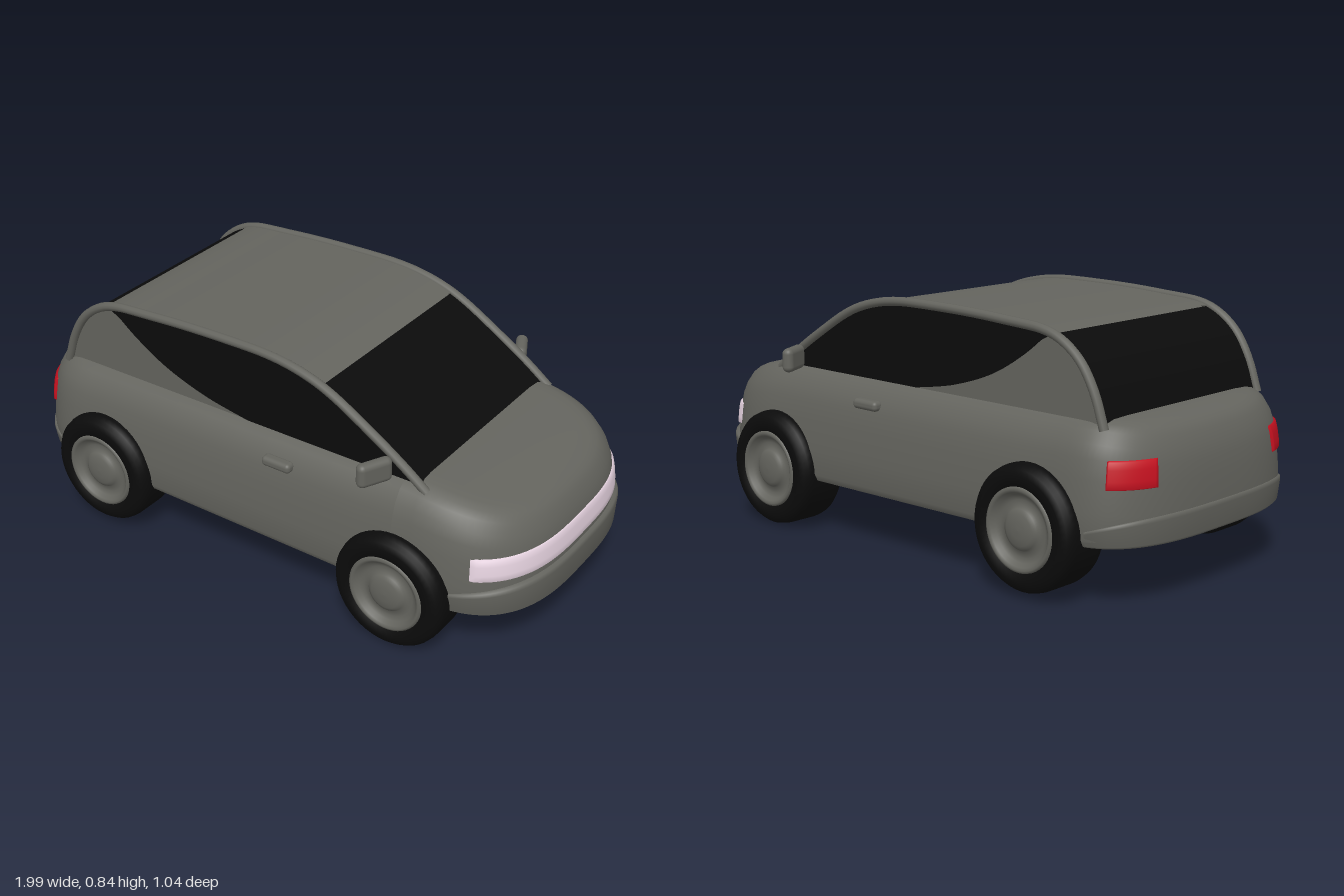
import * as THREE from 'three';
import { RoundedBoxGeometry } from 'three/addons/geometries/RoundedBoxGeometry.js';

const material = (name, color, side = THREE.FrontSide) => {
  const m = new THREE.MeshStandardMaterial({ color, side });
  m.name = name;
  return m;
};

// Smooth surface from a rule fn(i, j) giving [x, y, z]
function grid(nu, nv, fn) {
  const pos = [], index = [];
  for (let j = 0; j <= nv; j++) for (let i = 0; i <= nu; i++) pos.push(...fn(i, j));
  for (let j = 0; j < nv; j++) for (let i = 0; i < nu; i++) {
    const a = j * (nu + 1) + i, b = a + 1, d = a + nu + 1, c = d + 1;
    index.push(a, b, c, a, c, d);
  }
  const g = new THREE.BufferGeometry();
  g.setAttribute('position', new THREE.Float32BufferAttribute(pos, 3));
  g.setIndex(index);
  g.computeVertexNormals();
  return g;
}

// Plan outline of the nose or tail at an angle, pulled in by d
function outline(angle, d, rear) {
  const c = Math.pow(Math.abs(Math.cos(angle)), 2 / 3);
  const s = Math.sin(angle);
  const x = rear ? -0.7 - (0.29 - 0.7 * d) * c : 0.55 + (0.43 - 0.7 * d) * c;
  return [x, -Math.sign(s) * Math.pow(Math.abs(s), 2 / 3) * (0.475 - d)];
}

// Whole plan outline: nose, straight side, tail, straight side
const ARC = 48, SIDE = 10, LOOP = 2 * (ARC + SIDE);
function around(i, d) {
  const rear = i >= ARC + SIDE, k = rear ? i - ARC - SIDE : i;
  const start = rear ? Math.PI / 2 : -Math.PI / 2;
  if (k <= ARC) return outline(start + Math.PI * k / ARC, d, rear);
  const z = (rear ? 1 : -1) * (0.475 - d), t = (k - ARC) / SIDE;
  return [THREE.MathUtils.lerp(rear ? -0.7 : 0.55, rear ? 0.55 : -0.7, t), z];
}

const topY = x => 0.565 - 0.11 * Math.pow(Math.max(0, (x - 0.55) / 0.45), 1.6)
  - 0.06 * Math.pow(Math.max(0, (-0.8 - x) / 0.2), 2);
const bottomY = x => 0.19 - 0.01 * x;

// Body cross-section: [height fraction, inset]
const SECTION = [[0, 0.014], [0.06, 0.002], [0.29, 0], [0.56, 0.01], [0.72, 0.02], [0.83, 0.035],
  [0.93, 0.06], [0.975, 0.085], [0.995, 0.115], [1, 0.16]];
function insetAt(f) {
  const k = Math.max(1, SECTION.findIndex(s => s[0] >= f));
  const [f0, d0] = SECTION[k - 1], [f1, d1] = SECTION[k];
  return THREE.MathUtils.mapLinear(f, f0, f1, d0, d1);
}

// Point standing off the body shell at an angle and height
function onBody(angle, y, off, rear) {
  const x0 = outline(angle, 0.01, rear)[0];
  const f = THREE.MathUtils.clamp((y - bottomY(x0)) / (topY(x0) - bottomY(x0)), 0, 1);
  const [x, z] = outline(angle, insetAt(f) - off, rear);
  return [x, y, z];
}

// Thin lamp that follows the shell, angles in degrees
function lamp(a0, a1, y0, y1, rear) {
  const n = 40, offs = [0, 0.008, 0.009, 0.009, 0.008, 0], vs = [0, 0.04, 0.3, 0.7, 0.96, 1];
  return grid(n, 5, (i, j) => onBody(THREE.MathUtils.degToRad(a0 + (a1 - a0) * i / n),
    y0 + (y1 - y0) * vs[j], i === 0 || i === n ? 0 : offs[j], rear));
}

// Wrap-round bumper whose upper edge dips towards its ends
function bumper(mid, proud, rear) {
  const n = 60, rows = [[0, 0.4], [0.1, 1], [0.85, 1], [0.97, 0.8], [1, 0]];
  return grid(n, 4, (i, j) => {
    const t = i / n * 2 - 1, angle = mid + t * 1.3;
    const low = bottomY(outline(angle, 0, rear)[0]);
    const high = 0.292 - 0.045 * Math.pow(Math.abs(t), 3);
    return onBody(angle, low + (high - low) * rows[j][0],
      rows[j][1] * (0.003 + proud * (1 - t ** 4)), rear);
  });
}

export function createModel() {
  const car = new THREE.Group();
  const paint = material('grey paint', 0x64645e, THREE.DoubleSide);
  const black = material('black glass and rubber', 0x0b0b0b, THREE.DoubleSide);
  const lampWhite = material('pale pink lamp', 0xe6d3e0, THREE.DoubleSide);
  const lampRed = material('red lamp', 0xc4101f, THREE.DoubleSide);
  const add = (name, geometry, mat, parent = car) => {
    const m = new THREE.Mesh(geometry, mat);
    m.name = name;
    parent.add(m);
    return m;
  };

  // Lower body: section rings closed along the centre line
  add('lowerBody', grid(LOOP, SECTION.length, (i, j) => {
    const [f, d] = SECTION[Math.min(j, SECTION.length - 1)];
    const [x, z] = around(i, d);
    return [x, bottomY(x) + f * (topY(x) - bottomY(x)), j === SECTION.length ? 0 : z];
  }), paint);
  add('underside', grid(LOOP, 1, (i, j) => {
    const [x, z] = around(i, 0.014);
    return [x, bottomY(x), j ? z : 0];
  }), paint);

  // Bumpers and lamps
  add('frontBumper', bumper(0, 0.017, false), paint);
  add('rearBumper', bumper(Math.PI, 0.007, true), paint);
  add('headlampBar', lamp(-61, 61, 0.31, 0.386, false), lampWhite);
  add('leftTailLamp', lamp(118, 150, 0.375, 0.46, true), lampRed);
  add('rightTailLamp', lamp(210, 242, 0.375, 0.46, true), lampRed);

  // Cabin side profile, tail to windscreen base
  const profile = new THREE.CatmullRomCurve3([[-0.83, 0.55], [-0.79, 0.66], [-0.73, 0.75],
    [-0.63, 0.812], [-0.45, 0.832], [-0.15, 0.843], [0.08, 0.836], [0.24, 0.795],
    [0.42, 0.695], [0.55, 0.61], [0.63, 0.55]].map(([x, y]) => new THREE.Vector3(x, y, 0)));
  const samples = (a, b, n, drop) => Array.from({ length: n + 1 }, (_, i) => {
    const p = profile.getPoint(a + (b - a) * i / n);
    return new THREE.Vector2(p.x, p.y - drop);
  });
  const cabin = new THREE.ExtrudeGeometry(new THREE.Shape(samples(0, 1, 60, 0.022)),
    { depth: 0.77, bevelEnabled: false });
  add('cabinShell', cabin.translate(0, 0, -0.385), paint);

  // Rear glass, roof and windscreen strips
  const strip = (name, a, b, drop, mat) => {
    const pts = samples(a, b, 30, drop);
    add(name, grid(30, 1, (i, j) => [pts[i].x, pts[i].y, j ? -0.385 : 0.385]), mat);
  };
  strip('rearGlass', 0, 0.3, 0.013, black);
  strip('roof', 0.3, 0.7, 0.009, paint);
  strip('windscreen', 0.7, 1, 0.013, black);

  // Side window outline
  const pane = new THREE.Shape(samples(0.305, 0.965, 50, 0.02));
  pane.lineTo(0.58, 0.558);
  pane.lineTo(-0.05, 0.558);
  pane.splineThru([[-0.22, 0.59], [-0.38, 0.645], [-0.51, 0.72], [-0.61, 0.798]]
    .map(p => new THREE.Vector2(...p)));

  // Tyre and hub profiles: [radius, distance along the axle]
  const lathe = pts => new THREE.LatheGeometry(pts.map(p => new THREE.Vector2(...p)), 48)
    .rotateX(Math.PI / 2);
  const tyre = lathe([[0, -0.09], [0.165, -0.09], [0.185, -0.084], [0.196, -0.07], [0.2, -0.05],
    [0.2, 0.05], [0.196, 0.07], [0.185, 0.084], [0.165, 0.09], [0.135, 0.09], [0.125, 0.07]]);
  const hub = lathe([[0.134, 0.075], [0.132, 0.089], [0.124, 0.093], [0.115, 0.088], [0.105, 0.074],
    [0.09, 0.068], [0.07, 0.07], [0.064, 0.08], [0.05, 0.088], [0.025, 0.092], [0, 0.093]]);

  for (const s of [1, -1]) {
    const side = s > 0 ? 'right' : 'left';
    // Roof rail
    const rail = new THREE.CatmullRomCurve3(samples(0, 1, 30, 0.012)
      .map(p => new THREE.Vector3(p.x, p.y, s * 0.389)));
    add(side + 'RoofRail', new THREE.TubeGeometry(rail, 70, 0.015, 10), paint);
    // Side window
    const win = new THREE.ExtrudeGeometry(pane, { depth: 0.006, bevelEnabled: false });
    add(side + 'SideWindow', win, black).position.z = s > 0 ? 0.3845 : -0.3905;
    // Door mirror
    const mirror = add(side + 'Mirror', new RoundedBoxGeometry(0.04, 0.082, 0.12, 4, 0.019), paint);
    mirror.position.set(0.482, 0.595, s * 0.457);
    mirror.rotation.y = -s * 0.45;
    // Door handle
    add(side + 'DoorHandle', new RoundedBoxGeometry(0.11, 0.034, 0.04, 4, 0.014), paint)
      .position.set(0.115, 0.487, s * 0.452);
    // Wheels
    for (const [name, x, y] of [['Front', 0.565, 0.203], ['Rear', -0.61, 0.221]]) {
      const wheel = new THREE.Group();
      wheel.name = side + name + 'Wheel';
      add('tyre', tyre, black, wheel);
      add('hub', hub, paint, wheel);
      wheel.position.set(x, y, s * 0.425);
      if (s < 0) wheel.rotation.y = Math.PI;
      car.add(wheel);
    }
  }
  return car;
}
